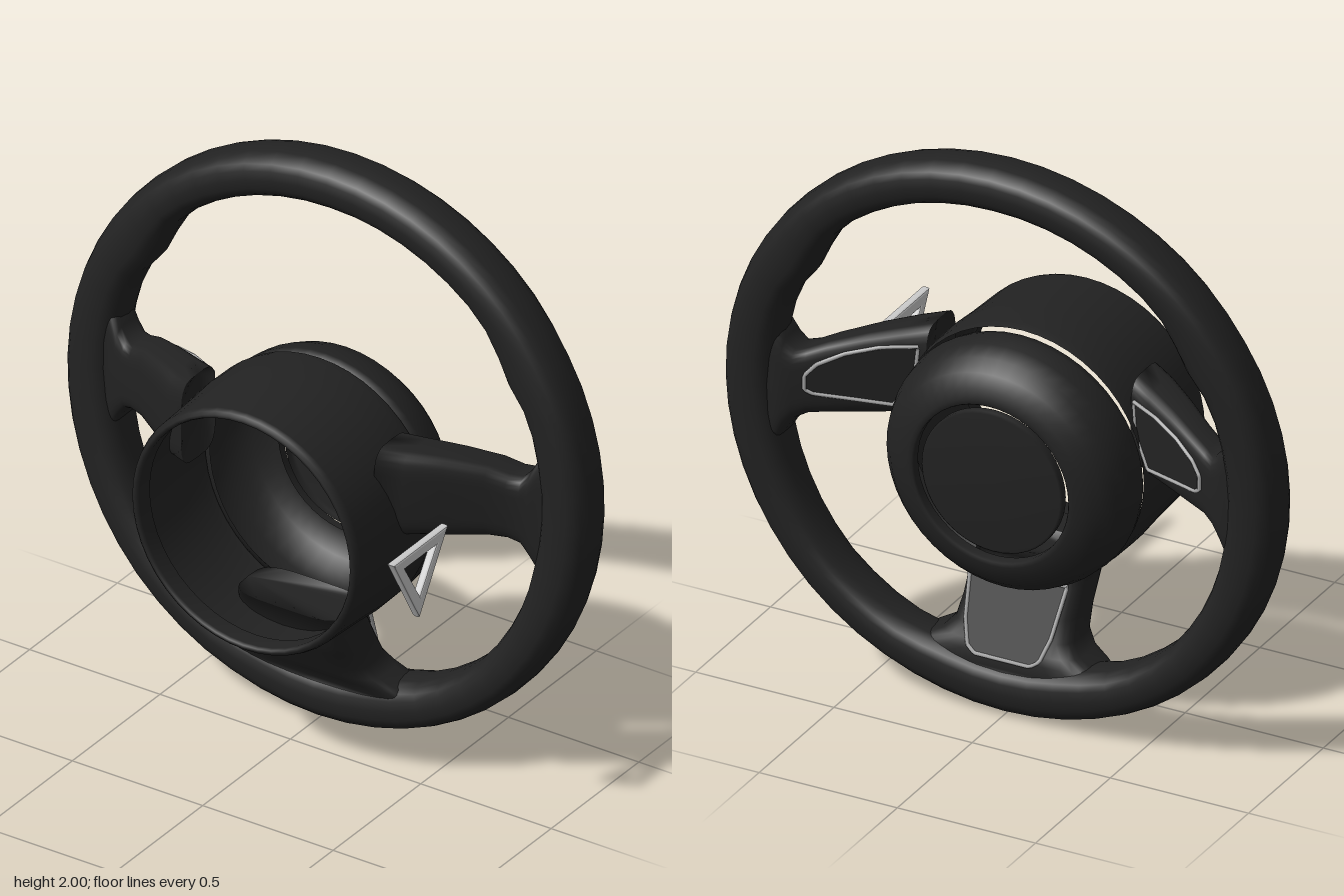
import * as THREE from 'three';

const dark = new THREE.MeshStandardMaterial({ color: 0x222222, side: THREE.DoubleSide });
const chrome = new THREE.MeshStandardMaterial({ color: 0xaaaaaa });
const grey = new THREE.MeshStandardMaterial({ color: 0xcccccc });
const HUB_Y = 0.89;

// Point on a rounded-box outline of half size 1; a higher n is squarer.
function roundedPoint(t, n) {
  const c = Math.cos(t), s = Math.sin(t);
  return [Math.sign(c) * Math.abs(c) ** (2 / n), Math.sign(s) * Math.abs(s) ** (2 / n)];
}

// Skin over rows of equally many points; rows are closed loops.
function loft(rows, { closed = false, caps = false } = {}) {
  const n = rows[0].length, m = rows.length, index = [];
  const points = rows.flat();
  for (let i = 0; i < (closed ? m : m - 1); i++) {
    for (let j = 0; j < n; j++) {
      const a = i * n + j, b = i * n + (j + 1) % n;
      const c = ((i + 1) % m) * n + j, d = ((i + 1) % m) * n + (j + 1) % n;
      index.push(a, c, b, b, c, d);
    }
  }
  if (caps) {
    for (const start of [0, (m - 1) * n]) {
      for (let j = 1; j < n - 1; j++) {
        if (start) index.push(start, start + j, start + j + 1);
        else index.push(start, start + j + 1, start + j);
      }
    }
  }
  const geometry = new THREE.BufferGeometry().setFromPoints(points);
  geometry.setIndex(index);
  geometry.computeVertexNormals();
  return geometry;
}

function mesh(name, geometry, material = dark) {
  const m = new THREE.Mesh(geometry, material);
  m.name = name;
  return m;
}

// Lathe around the hub axis from [radius, z] pairs.
function hubLathe(name, profile) {
  const geometry = new THREE.LatheGeometry(profile.map(([r, z]) => new THREE.Vector2(r, z)), 48);
  geometry.rotateX(Math.PI / 2);
  const m = mesh(name, geometry);
  m.position.y = HUB_Y;
  return m;
}

// Inner radius of the rim by angle from the top, with thumb grips.
const INNER = [[0, 0.84], [43, 0.848], [50, 0.825], [58, 0.805], [66, 0.825], [76, 0.82],
  [100, 0.815], [112, 0.826], [135, 0.85], [152, 0.845], [165, 0.82], [180, 0.82]];
function innerRadius(deg) {
  const i = Math.max(1, INNER.findIndex(([a]) => a >= deg));
  const [a0, r0] = INNER[i - 1], [a1, r1] = INNER[i];
  return THREE.MathUtils.lerp(r0, r1, (deg - a0) / (a1 - a0));
}

function buildRim() {
  const rows = [], steps = 56, sides = 20;
  for (let i = 0; i < steps; i++) {
    const a = (i / steps) * Math.PI * 2;
    const deg = Math.min(180, THREE.MathUtils.radToDeg(Math.min(a, Math.PI * 2 - a)));
    const inner = innerRadius(deg), mid = (1 + inner) / 2, half = (1 - inner) / 2;
    const row = [];
    for (let j = 0; j < sides; j++) {
      const [u, v] = roundedPoint((j / sides) * Math.PI * 2, 2.5);
      const r = mid + u * half, y = Math.cos(a) * r;
      row.push(new THREE.Vector3(Math.sin(a) * r, 1 + y, -0.26 - 0.04 * y + v * 0.1));
    }
    rows.push(row);
  }
  return mesh('rim', loft(rows, { closed: true }));
}

// Spoke from stations [along, low, high, zFront, zBack].
function spokeGeometry(stations, place) {
  return loft(stations.map(([s, lo, hi, zf, zb]) => {
    const row = [];
    for (let j = 0; j < 28; j++) {
      const [u, v] = roundedPoint((j / 28) * Math.PI * 2, 4);
      row.push(place(s, (lo + hi) / 2 + u * (hi - lo) / 2, (zf + zb) / 2 + v * (zf - zb) / 2));
    }
    return row;
  }), { caps: true });
}

// Inset panel with a bright outline, lying on the sloped driver side of a spoke.
function trimmedPanel(name, corners, depth) {
  const group = new THREE.Group();
  group.name = name;
  const path = new THREE.CurvePath();
  const pts = corners.map(([x, y]) => new THREE.Vector3(x, y, depth(x, y)));
  pts.forEach((p, i) => path.add(new THREE.LineCurve3(p, pts[(i + 1) % pts.length])));
  group.add(mesh('panelTrim', new THREE.TubeGeometry(path, 90, 0.007, 6, true), chrome));
  const plate = new THREE.ShapeGeometry(new THREE.Shape(corners.map(([x, y]) => new THREE.Vector2(x, y))));
  const pos = plate.attributes.position;
  for (let i = 0; i < pos.count; i++) pos.setZ(i, depth(pos.getX(i), pos.getY(i)));
  plate.computeVertexNormals();
  group.add(mesh('panelFace', plate));
  return group;
}

function buildSideSpoke(side) {
  const stations = [
    [0.37, 0.91, 1.22, 0.075, -0.125], [0.45, 0.9, 1.205, 0.035, -0.165],
    [0.55, 0.9, 1.185, -0.035, -0.215], [0.66, 0.9, 1.155, -0.115, -0.27],
    [0.72, 0.895, 1.13, -0.145, -0.295], [0.76, 0.875, 1.125, -0.165, -0.315],
    [0.79, 0.83, 1.16, -0.17, -0.325], [0.82, 0.77, 1.22, -0.18, -0.33],
    [0.88, 0.74, 1.25, -0.19, -0.33]];
  const group = new THREE.Group();
  group.name = side > 0 ? 'leftSpoke' : 'rightSpoke';
  group.add(mesh('spokeArm', spokeGeometry(stations, (s, w, z) => new THREE.Vector3(s, w, z))));
  group.add(trimmedPanel('spokePanel',
    [[0.39, 1.16], [0.5, 1.155], [0.6, 1.13], [0.68, 1.09], [0.715, 1.05], [0.715, 1.0],
      [0.69, 0.985], [0.46, 0.95], [0.4, 1.05]],
    (x) => -0.145 - (x - 0.4) * 0.5));
  group.scale.x = side;
  return group;
}

function buildLowerSpoke() {
  const stations = [
    [0.51, -0.2, 0.2, 0.05, -0.16], [0.44, -0.205, 0.205, 0.045, -0.19],
    [0.35, -0.205, 0.205, -0.01, -0.235], [0.28, -0.215, 0.215, -0.055, -0.265],
    [0.24, -0.25, 0.25, -0.08, -0.285], [0.21, -0.31, 0.31, -0.1, -0.295],
    [0.17, -0.37, 0.37, -0.13, -0.3], [0.12, -0.39, 0.39, -0.15, -0.3]];
  const group = new THREE.Group();
  group.name = 'lowerSpoke';
  group.add(mesh('spokeArm', spokeGeometry(stations, (s, w, z) => new THREE.Vector3(-w, s, z))));
  group.add(trimmedPanel('spokePanel',
    [[-0.175, 0.46], [0.175, 0.46], [0.155, 0.3], [0.13, 0.225], [0.1, 0.205],
      [-0.1, 0.205], [-0.13, 0.225], [-0.155, 0.3]],
    (x, y) => -0.195 - (0.44 - y) * 0.45));
  return group;
}

// Hollow column shroud, airbag dome with a ring gap, and the centre cap.
function buildHub() {
  const group = new THREE.Group();
  group.name = 'hub';
  group.add(hubLathe('columnShroud', [[0.405, 0.2], [0.405, 0.26], [0.41, 0.27], [0.42, 0.27],
    [0.43, 0.262], [0.436, 0.245], [0.443, 0.08], [0.45, -0.02], [0.448, -0.13], [0.44, -0.165]]));
  const cover = new THREE.Group();
  cover.name = 'driverCover';
  cover.add(hubLathe('coverDome', [[0.41, -0.15], [0.435, -0.16], [0.442, -0.19], [0.435, -0.25],
    [0.415, -0.305], [0.38, -0.345], [0.335, -0.37], [0.3, -0.38], [0.285, -0.38], [0.28, -0.374], [0.28, -0.345]]));
  cover.add(hubLathe('centreCap', [[0.255, -0.345], [0.255, -0.366], [0.248, -0.372], [0.12, -0.38], [0, -0.383]]));
  // Slight lean that follows the rim.
  for (const part of cover.children) part.rotation.x = -0.035;
  group.add(cover);
  return group;
}

// Flat triangular frame beside the column.
function buildTriangle() {
  const ring = (top, bottom, half) => [[-half, top], [0, bottom], [half, top]].map(([x, y]) => new THREE.Vector2(x, y));
  const shape = new THREE.Shape(ring(1.05, 0.8, 0.145));
  shape.holes.push(new THREE.Path(ring(1.02, 0.858, 0.1)));
  const geometry = new THREE.ExtrudeGeometry(shape, {
    depth: 0.014, bevelEnabled: true, bevelSize: 0.008, bevelThickness: 0.008, bevelSegments: 2 });
  geometry.translate(0, -0.92, -0.007);
  geometry.rotateY(Math.PI / 2);
  const m = mesh('triangleFrame', geometry, grey);
  m.position.set(0.65, 0.92, 0.245);
  m.rotation.z = -0.02;
  return m;
}

export function createModel() {
  const model = new THREE.Group();
  model.name = 'steeringWheel';
  model.add(buildRim(), buildHub(), buildSideSpoke(1), buildSideSpoke(-1), buildLowerSpoke(), buildTriangle());
  return model;
}
